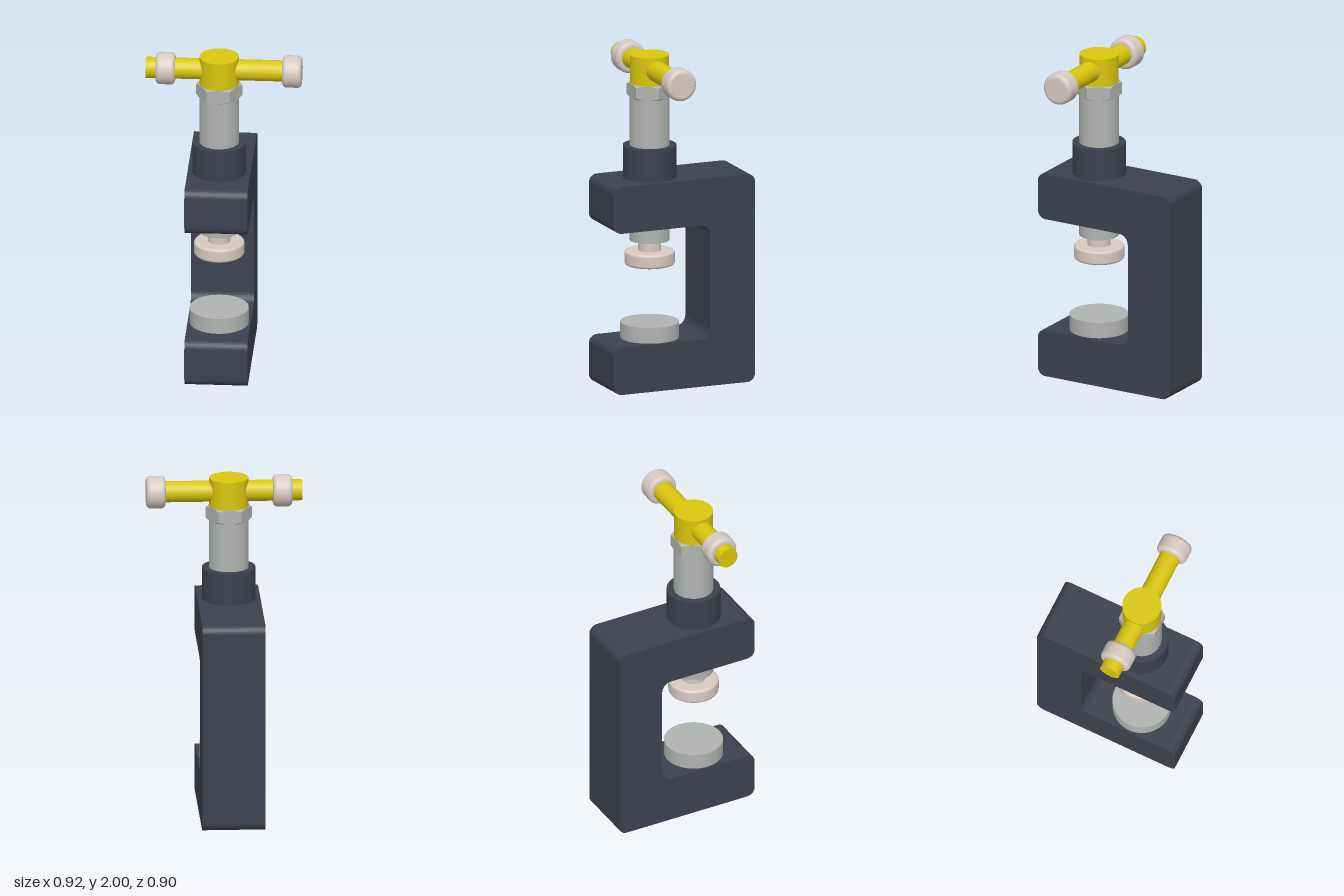
import * as THREE from 'three';

const AX = -0.03, AZ = 0.143; // screw axis

export function createModel() {
  const model = new THREE.Group();
  model.name = 'clamp';
  const mat = (name, color) => {
    const m = new THREE.MeshStandardMaterial({ color });
    m.name = name;
    return m;
  };
  const slate = mat('slate', 0x3b414d);
  const yellow = mat('yellow', 0xd9c60d);
  const steel = mat('steel', 0xb0b3b0);
  const beige = mat('beige', 0xd6cac2);

  const add = (name, geometry, material, x = 0, y = 0, z = 0) => {
    const mesh = new THREE.Mesh(geometry, material);
    mesh.name = name;
    mesh.position.set(x, y, z);
    model.add(mesh);
    return mesh;
  };
  // upright cylinder on the screw axis between two heights
  const post = (name, r, y0, y1, material) =>
    add(name, new THREE.CylinderGeometry(r, r, y1 - y0, 64), material, AX, (y0 + y1) / 2, AZ);

  // disc with rounded rims, centred on its own axis
  const roundedDisc = (r, h, b) => {
    const p = [new THREE.Vector2(0, -h / 2)];
    const n = 6;
    // doubled points keep the flat ends crisp
    p.push(new THREE.Vector2(r - b - 0.001, -h / 2));
    for (const s of [-1, 1]) {
      for (let i = 0; i <= n; i++) {
        const a = (s < 0 ? i / n - 1 : i / n) * Math.PI / 2;
        p.push(new THREE.Vector2(r - b + b * Math.cos(a), s * (h / 2 - b) + b * Math.sin(a)));
      }
    }
    p.push(new THREE.Vector2(r - b - 0.001, h / 2), new THREE.Vector2(0, h / 2));
    return new THREE.LatheGeometry(p, 48);
  };

  // C-shaped frame: outline as [z, y, corner radius], extruded across x
  const corners = [
    [-0.45, 0, 0.05], [0.45, 0, 0.05], [0.45, 0.285, 0.05], [-0.165, 0.285, 0.06],
    [-0.165, 0.972, 0.06], [0.45, 0.972, 0.05], [0.45, 1.253, 0.05], [-0.45, 1.253, 0.05],
  ];
  const outline = new THREE.Shape();
  corners.forEach(([z, y, r], i) => {
    const here = new THREE.Vector2(-z, y);
    const toward = (c) => new THREE.Vector2(-c[0], c[1]).sub(here).setLength(r);
    const u = toward(corners[(i + 7) % 8]), v = toward(corners[(i + 1) % 8]);
    const centre = here.clone().add(u).add(v);
    // quarter circle from the incoming edge to the outgoing edge
    for (let k = 0; k <= 8; k++) {
      const t = k / 8 * Math.PI / 2;
      const q = centre.clone().addScaledVector(v, -Math.cos(t)).addScaledVector(u, -Math.sin(t));
      if (i === 0 && k === 0) outline.moveTo(q.x, q.y);
      else outline.lineTo(q.x, q.y);
    }
  });
  const frame = new THREE.ExtrudeGeometry(outline, { depth: 0.37, bevelEnabled: false });
  frame.rotateY(Math.PI / 2);
  add('frame', frame, slate, -0.215);

  // fixed parts on the frame
  post('collar', 0.157, 1.25, 1.445, slate);
  post('anvil', 0.173, 0.28, 0.38, steel);

  // screw with its pressure foot
  post('screw', 0.117, 0.872, 1.75, steel);
  post('footNeck', 0.067, 0.80, 0.875, beige);
  add('foot', roundedDisc(0.148, 0.085, 0.016), beige, AX, 0.767, AZ);

  // hexagonal nut with chamfered corners
  const ap = 0.117, half = 0.0425;
  let nut = new THREE.CylinderGeometry(1, 1, 3, 48, 3);
  const pos = nut.attributes.position;
  for (let i = 0; i < pos.count; i++) {
    const x = pos.getX(i), y = pos.getY(i), z = pos.getZ(i);
    const a = Math.atan2(z, x), sector = Math.PI / 3;
    const local = ((a % sector) + sector) % sector - sector / 2;
    const hex = ap / Math.cos(local);
    const rim = Math.abs(y) > 1;
    const r = rim ? ap : hex;
    const h = rim ? half : half - (hex - ap) * 0.6;
    pos.setXYZ(i, x * r, Math.sign(y) * h, z * r);
  }
  nut = nut.toNonIndexed();
  nut.computeVertexNormals();
  add('nut', nut, steel, AX, 1.778, AZ);

  // handle: hub, sliding bar and two end stops
  post('handleHub', 0.115, 1.82, 1.99, yellow);
  const bar = new THREE.CylinderGeometry(0.062, 0.062, 0.83, 48);
  bar.rotateZ(Math.PI / 2);
  add('handleBar', bar, yellow, -0.045, 1.908, AZ);
  const stop = roundedDisc(0.095, 0.113, 0.025);
  stop.rotateZ(Math.PI / 2);
  add('rightStop', stop, beige, -0.344, 1.906, AZ);
  add('leftStop', stop, beige, 0.399, 1.906, AZ);

  return model;
}
